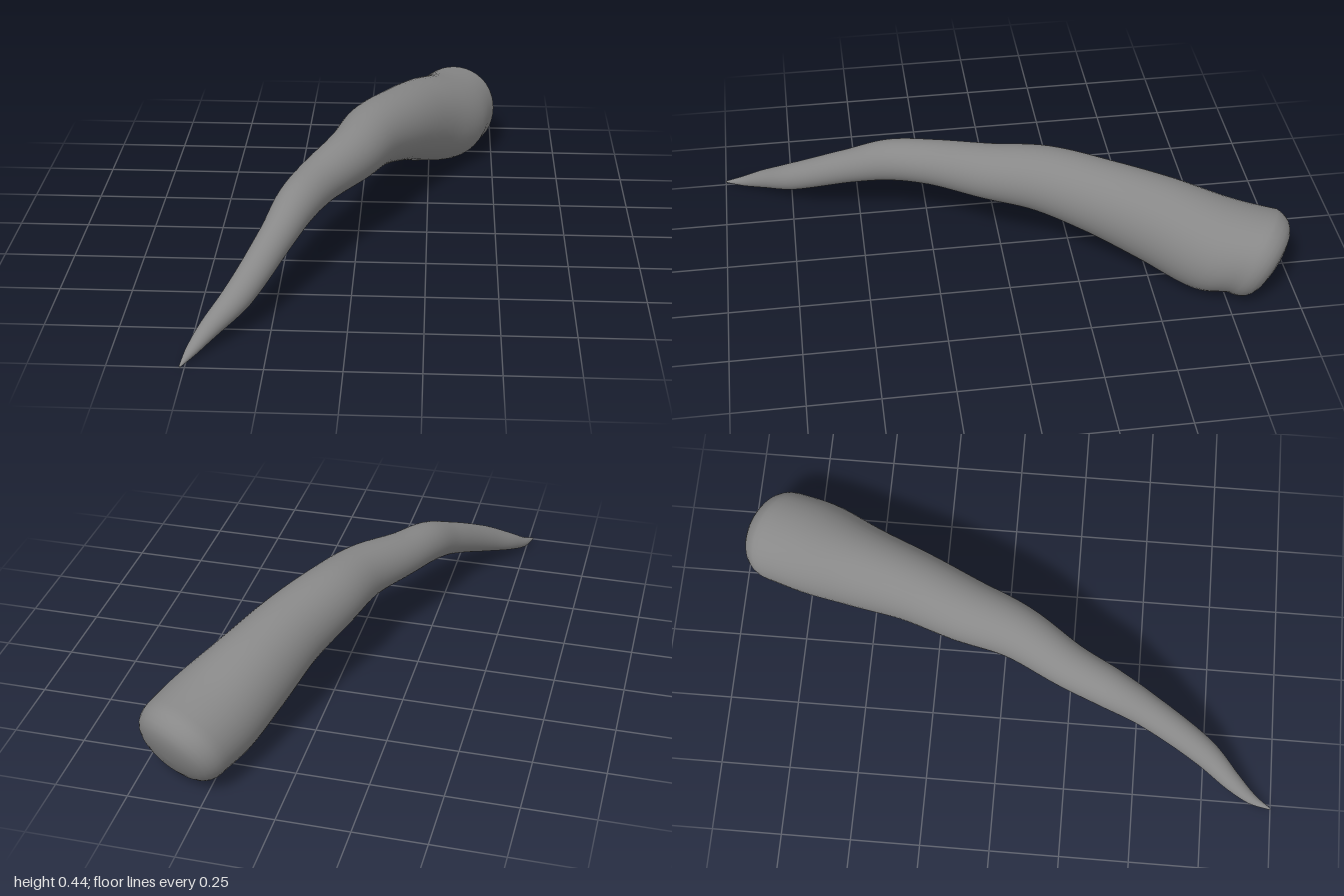
import * as THREE from 'three';

// Stations from tip to butt: centre x, y, z, half width, half height
const STATIONS = [
  [-0.515, 0.012, 1.0, 0.003, 0.003],
  [-0.487, 0.03, 0.93, 0.02, 0.019],
  [-0.44, 0.068, 0.855, 0.034, 0.034],
  [-0.355, 0.132, 0.74, 0.05, 0.051],
  [-0.25, 0.238, 0.525, 0.06, 0.063],
  [-0.193, 0.292, 0.38, 0.073, 0.077],
  [-0.13, 0.313, 0.235, 0.081, 0.083],
  [-0.023, 0.331, 0.04, 0.098, 0.102],
  [0.045, 0.329, -0.15, 0.116, 0.121],
  [0.135, 0.293, -0.345, 0.129, 0.14],
  [0.215, 0.236, -0.535, 0.15, 0.161],
  [0.298, 0.178, -0.725, 0.173, 0.166],
  [0.338, 0.168, -0.855, 0.17, 0.156],
];

// Rounded butt: distance past the last station, scale
const CAP = [[0.016, 0.99], [0.034, 0.965], [0.053, 0.91], [0.069, 0.82], [0.081, 0.69], [0.09, 0.5], [0.095, 0.27], [0.097, 0.001]];

const SIDES = 40;
const STEPS = 72;

function createHornGeometry() {
  const path = new THREE.CatmullRomCurve3(STATIONS.map(([x, y, z]) => new THREE.Vector3(x, y, z)));
  const size = new THREE.CatmullRomCurve3(STATIONS.map(([, , , w, h]) => new THREE.Vector3(w, h, 0)));
  const up = new THREE.Vector3(0, 1, 0);
  const endDir = new THREE.Vector3(0.42, -0.41, -0.81).normalize();
  const positions = [];
  const indices = [];

  // One ring square to the horn; flare pushes out its two left-hand corners
  const addRing = (centre, dir, w, h, flare) => {
    const side = new THREE.Vector3().crossVectors(dir, up).normalize();
    const rise = new THREE.Vector3().crossVectors(side, dir);
    for (let j = 0; j < SIDES; j++) {
      const a = (j / SIDES) * Math.PI * 2;
      const lower = Math.max(0, Math.cos(a + Math.PI / 4)) ** 3;
      const upper = Math.max(0, Math.cos(a - Math.PI / 4)) ** 3;
      const r = 1 + flare * (0.11 * lower + 0.04 * upper);
      const p = centre.clone()
        .addScaledVector(side, Math.cos(a) * w * r)
        .addScaledVector(rise, Math.sin(a) * h * r);
      positions.push(p.x, p.y, p.z);
    }
  };

  // Curved, tapering body, easing into the tilt of the butt
  for (let i = 0; i <= STEPS; i++) {
    const t = i / STEPS;
    const s = size.getPoint(t);
    const blend = THREE.MathUtils.smoothstep(t, 0.8, 1);
    const dir = path.getTangent(t).lerp(endDir, blend).normalize();
    addRing(path.getPoint(t), dir, s.x, s.y, blend);
  }

  // Softly domed butt
  const [ex, ey, ez, ew, eh] = STATIONS[STATIONS.length - 1];
  for (const [d, k] of CAP) {
    addRing(new THREE.Vector3(ex, ey, ez).addScaledVector(endDir, d), endDir, ew * k, eh * k, 1);
  }

  // Skin between neighbouring rings
  const rings = positions.length / 3 / SIDES;
  for (let i = 0; i < rings - 1; i++) {
    for (let j = 0; j < SIDES; j++) {
      const a = i * SIDES + j;
      const b = i * SIDES + ((j + 1) % SIDES);
      indices.push(a, a + SIDES, b, b, a + SIDES, b + SIDES);
    }
  }

  // Close the tip
  for (let j = 1; j < SIDES - 1; j++) indices.push(0, j, j + 1);

  const geometry = new THREE.BufferGeometry();
  geometry.setAttribute('position', new THREE.Float32BufferAttribute(positions, 3));
  geometry.setIndex(indices);
  geometry.computeVertexNormals();
  return geometry;
}

export function createModel() {
  const group = new THREE.Group();
  group.name = 'curvedHorn';
  const horn = new THREE.Mesh(createHornGeometry(), new THREE.MeshStandardMaterial({ color: 0x888888 }));
  horn.name = 'horn';
  group.add(horn);
  return group;
}
